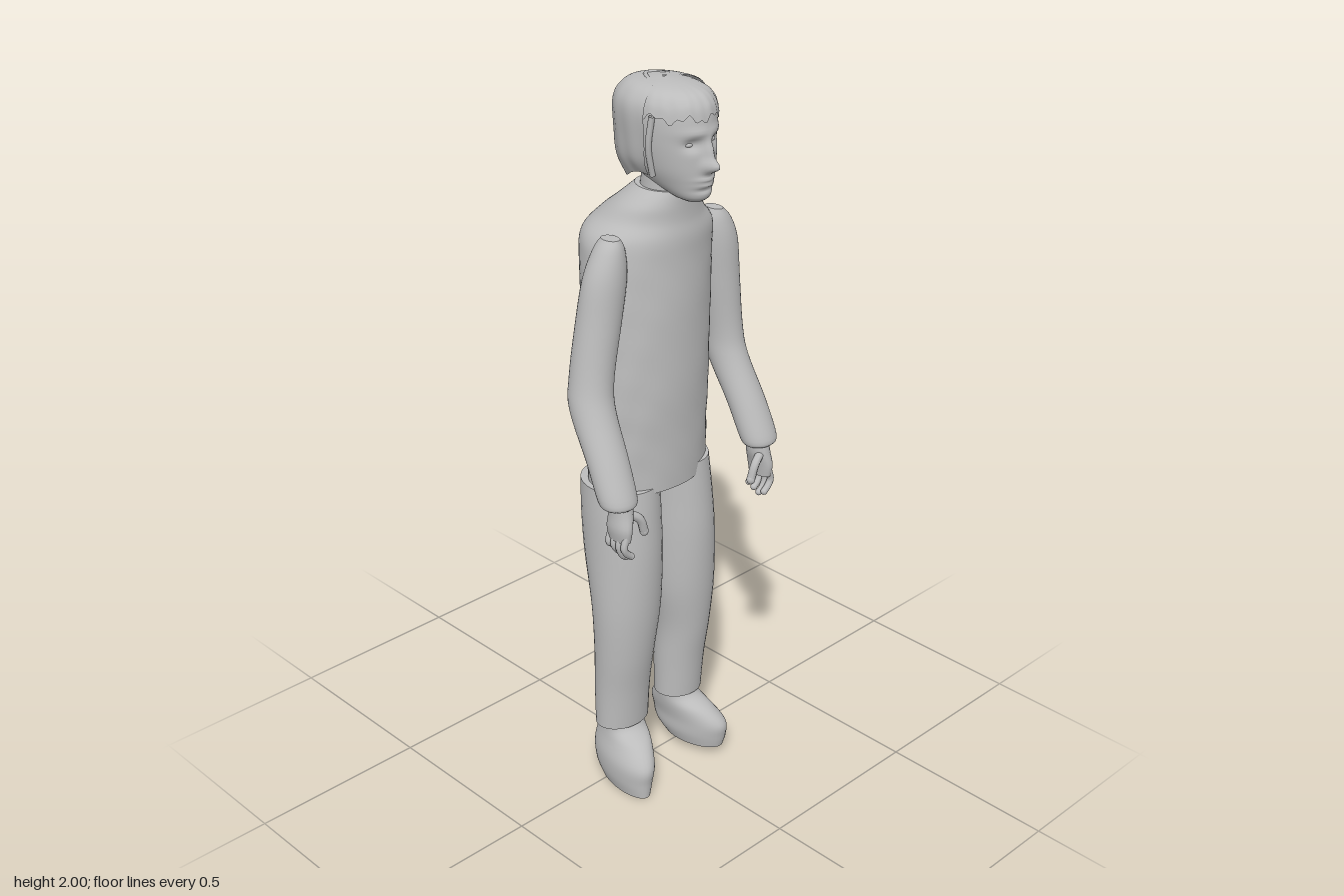
import * as THREE from 'three';

const grey = new THREE.MeshStandardMaterial({ color: 0xbcbcbc, side: THREE.DoubleSide });
grey.name = 'plain grey';

// Smooth interpolation through neighbouring rows
function blend(rows, t) {
  const i = Math.min(Math.floor(t), rows.length - 2), f = t - i;
  const at = k => rows[Math.max(0, Math.min(rows.length - 1, k))];
  const [a, b, c, d] = [at(i - 1), at(i), at(i + 1), at(i + 2)];
  return b.map((v, k) => v + 0.5 * f * (c[k] - a[k] + f * (2 * a[k] - 5 * v + 4 * c[k] - d[k]
    + f * (3 * (v - c[k]) + d[k] - a[k]))));
}

// Skin over elliptical cross-sections, rows are [y, centreX, centreZ, radiusX, radiusZ], bottom to top
function loft(name, rows, { seg = 36, sub = 5, from = 0, to = Math.PI * 2, warp, caps = true } = {}) {
  const closed = to - from > 6.28, cols = closed ? seg : seg + 1;
  const n = (rows.length - 1) * sub, pos = [], idx = [];
  for (let j = 0; j <= n; j++) {
    const [y, cx, cz, rx, rz] = blend(rows, j / sub);
    for (let i = 0; i < cols; i++) {
      const a = from + (to - from) * i / seg;
      const p = new THREE.Vector3(cx + rx * Math.sin(a), y, cz + rz * Math.cos(a));
      if (warp) warp(p, a, j / n);
      pos.push(p.x, p.y, p.z);
    }
  }
  for (let j = 0; j < n; j++) for (let i = 0; i < seg; i++) {
    const a = j * cols + i, b = j * cols + (i + 1) % cols;
    idx.push(a, b, b + cols, a, b + cols, a + cols);
  }
  // Flat ends with their own vertices, so the rims stay crisp
  if (closed && caps) for (const j of [0, n]) {
    const base = pos.length / 3, row = blend(rows, j / sub);
    for (let i = 0; i < cols; i++) pos.push(...pos.slice((j * cols + i) * 3, (j * cols + i) * 3 + 3));
    pos.push(row[1], row[0], row[2]);
    for (let i = 0; i < cols; i++) {
      const a = base + i, b = base + (i + 1) % cols;
      idx.push(...(j ? [a, b, base + cols] : [b, a, base + cols]));
    }
  }
  const g = new THREE.BufferGeometry();
  g.setAttribute('position', new THREE.Float32BufferAttribute(pos, 3));
  g.setIndex(idx);
  g.computeVertexNormals();
  const m = new THREE.Mesh(g, grey);
  m.name = name;
  return m;
}

function ball(name, x, y, z, sx, sy, sz) {
  const m = new THREE.Mesh(new THREE.SphereGeometry(1, 16, 12), grey);
  m.position.set(x, y, z);
  m.scale.set(sx, sy, sz);
  m.name = name;
  return m;
}

function tube(name, points, r) {
  const curve = new THREE.CatmullRomCurve3(points.map(p => new THREE.Vector3(...p)));
  const m = new THREE.Mesh(new THREE.TubeGeometry(curve, 14, r, 8), grey);
  m.name = name;
  return m;
}

const bump = (x, y, sx, sy) => Math.exp(-((x / sx) ** 2) - (y / sy) ** 2);

// Palm, four hanging fingers and an inward thumb; s is the side
function makeHand(s) {
  const hand = new THREE.Group();
  hand.name = s > 0 ? 'leftHand' : 'rightHand';
  hand.add(loft('palm', [[0.875, s * 0.262, 0.15, 0.018, 0.037], [0.91, s * 0.262, 0.15, 0.024, 0.042],
    [0.95, s * 0.255, 0.148, 0.028, 0.036], [1.0, s * 0.255, 0.145, 0.028, 0.03]], { seg: 18, sub: 4 }));
  for (let i = 0; i < 4; i++) {
    const z = 0.179 - i * 0.019, tip = 0.822 + 0.009 * Math.abs(i - 1);
    hand.add(tube('finger', [[s * 0.265, 0.895, z], [s * 0.274, 0.86, z], [s * 0.264, tip + 0.012, z], [s * 0.25, tip, z]], 0.0095));
    hand.add(ball('fingertip', s * 0.25, tip, z, 0.0095, 0.0095, 0.0095));
  }
  hand.add(tube('thumb', [[s * 0.25, 0.95, 0.165], [s * 0.215, 0.925, 0.175], [s * 0.2, 0.885, 0.175]], 0.012));
  hand.add(ball('thumbTip', s * 0.2, 0.885, 0.175, 0.012, 0.014, 0.012));
  return hand;
}

function makeHead() {
  const head = new THREE.Group();
  head.name = 'head';
  // Face features pushed out of the skull
  const face = p => {
    if (p.z < 0.08) return;
    const x = p.x - 0.025, ax = Math.abs(x);
    p.z += 0.034 * bump(x, p.y - 1.808, 0.017, 0.016) + 0.018 * bump(x, p.y - 1.84, 0.012, 0.03)
      - 0.014 * bump(ax - 0.038, p.y - 1.862, 0.02, 0.014) + 0.006 * bump(ax - 0.03, p.y - 1.89, 0.04, 0.012)
      + 0.008 * bump(x, p.y - 1.773, 0.028, 0.006) + 0.007 * bump(x, p.y - 1.758, 0.024, 0.006)
      - 0.006 * bump(x, p.y - 1.745, 0.03, 0.006);
  };
  head.add(loft('skull', [[1.71, 0.025, 0.115, 0.022, 0.03], [1.725, 0.025, 0.105, 0.045, 0.058],
    [1.76, 0.025, 0.062, 0.07, 0.106], [1.8, 0.025, 0.045, 0.087, 0.124], [1.86, 0.025, 0.035, 0.098, 0.133],
    [1.92, 0.025, 0.03, 0.1, 0.135], [1.96, 0.025, 0.027, 0.092, 0.125], [1.984, 0.025, 0.025, 0.07, 0.098],
    [1.995, 0.025, 0.02, 0.01, 0.015]], { seg: 96, sub: 8, warp: face }));
  for (const s of [-1, 1]) head.add(ball('eye', 0.025 + s * 0.037, 1.861, 0.138, 0.014, 0.007, 0.01));

  // Longer hair round the back and sides, with shallow combed ridges
  head.add(loft('backHair', [[1.755, 0.03, 0.02, 0.085, 0.112], [1.8, 0.03, 0.02, 0.104, 0.143],
    [1.86, 0.03, 0.025, 0.112, 0.155], [1.93, 0.03, 0.025, 0.115, 0.157], [1.968, 0.03, 0.025, 0.1, 0.138],
    [1.99, 0.03, 0.02, 0.068, 0.095], [1.998, 0.03, 0.01, 0.004, 0.004]], {
    seg: 60, from: Math.PI * 0.44, to: Math.PI * 1.56,
    warp: (p, a, t) => {
      const r = 1 + 0.012 * Math.sin(a * 15 + t * 5) * (1 - t);
      p.x = 0.03 + (p.x - 0.03) * r;
      p.z = 0.02 + (p.z - 0.02) * r;
      if (t < 0.3) p.y += 0.018 * Math.sin(a * 3) * (1 - t / 0.3);
    }
  }));
  // Ragged fringe over the forehead
  head.add(loft('fringe', [[1.925, 0.025, 0.03, 0.106, 0.139], [1.955, 0.025, 0.028, 0.099, 0.133],
    [1.98, 0.025, 0.026, 0.08, 0.11], [1.993, 0.025, 0.02, 0.045, 0.065], [1.998, 0.025, 0.015, 0.003, 0.003]], {
    seg: 60, from: -Math.PI * 0.58, to: Math.PI * 0.58,
    warp: (p, a, t) => { p.y += (1 - t) ** 4 * (0.008 * Math.sin(a * 9) + 0.006 * Math.sin(a * 23)); }
  }));
  // Locks in front of the ears and an arched lock on the crown
  for (const s of [-1, 1]) head.add(tube('sideLock', [[0.025 + s * 0.1, 1.93, 0.075],
    [0.025 + s * 0.102, 1.85, 0.065], [0.025 + s * 0.083, 1.775, 0.06]], 0.008));
  head.add(tube('crownLock', [[-0.013, 1.98, 0.03], [-0.005, 1.991, -0.01], [0.028, 1.993, -0.048],
    [0.06, 1.991, -0.01], [0.07, 1.98, 0.03]], 0.006));
  return head;
}

export function createModel() {
  const model = new THREE.Group();
  model.name = 'standingMan';

  // Body with a lightly crumpled surface
  model.add(loft('torso', [[0.915, 0, -0.02, 0.183, 0.123], [1.05, 0, -0.021, 0.184, 0.128],
    [1.2, 0.002, -0.022, 0.186, 0.133], [1.4, 0.01, -0.033, 0.187, 0.143], [1.54, 0.018, -0.042, 0.19, 0.147],
    [1.605, 0.024, -0.043, 0.183, 0.147], [1.65, 0.024, -0.028, 0.142, 0.126],
    [1.69, 0.02, -0.003, 0.11, 0.1], [1.73, 0.02, 0.02, 0.068, 0.078]], {
    seg: 64, sub: 8,
    warp: (p, a, t) => {
      const r = 1 + 0.009 * Math.sin(p.y * 45 + 2 * Math.sin(a * 3)) * Math.sin(a * 7 + p.y * 19) * (1 - t);
      p.x *= r;
      p.z *= r;
    }
  }));
  model.add(loft('neck', [[1.66, 0.02, 0.02, 0.066, 0.07], [1.73, 0.022, 0.025, 0.062, 0.066],
    [1.79, 0.025, 0.03, 0.062, 0.066]]));
  model.add(makeHead());

  // Sleeves hang from the shoulders and bend forward at the elbow
  const sleeves = {
    leftSleeve: [[0.97, 0.257, 0.148, 0.043, 0.038], [0.99, 0.258, 0.143, 0.053, 0.048], [1.08, 0.255, 0.1, 0.054, 0.052],
      [1.2, 0.247, 0.035, 0.051, 0.06], [1.28, 0.243, 0.018, 0.05, 0.058], [1.42, 0.23, 0.014, 0.055, 0.056],
      [1.53, 0.22, 0.016, 0.054, 0.052], [1.59, 0.21, 0.018, 0.04, 0.041], [1.622, 0.202, 0.02, 0.017, 0.028]],
    rightSleeve: [[0.97, -0.26, 0.148, 0.043, 0.038], [0.99, -0.262, 0.143, 0.053, 0.048], [1.08, -0.255, 0.1, 0.056, 0.052],
      [1.2, -0.245, 0.035, 0.058, 0.06], [1.28, -0.23, 0.018, 0.058, 0.058], [1.42, -0.2, 0.014, 0.061, 0.056],
      [1.53, -0.18, 0.016, 0.059, 0.052], [1.6, -0.167, 0.018, 0.04, 0.041], [1.63, -0.163, 0.02, 0.02, 0.028]]
  };
  for (const name in sleeves) model.add(loft(name, sleeves[name]));
  for (const s of [-1, 1]) model.add(makeHand(s));

  // Trouser legs
  const legs = {
    leftTrouserLeg: [[0.185, 0.1, 0, 0.072, 0.063], [0.3, 0.102, 0.003, 0.074, 0.07], [0.42, 0.105, 0.012, 0.077, 0.078],
      [0.56, 0.101, 0.013, 0.092, 0.09], [0.72, 0.098, -0.003, 0.097, 0.11], [0.84, 0.095, -0.013, 0.094, 0.114],
      [0.95, 0.09, -0.02, 0.09, 0.112]],
    rightTrouserLeg: [[0.185, -0.12, 0, 0.082, 0.063], [0.3, -0.12, 0.003, 0.083, 0.07], [0.42, -0.119, 0.012, 0.088, 0.078],
      [0.56, -0.112, 0.013, 0.099, 0.09], [0.72, -0.106, -0.003, 0.103, 0.11], [0.84, -0.104, -0.013, 0.102, 0.114],
      [0.93, -0.1, -0.02, 0.1, 0.112]]
  };
  for (const name in legs) model.add(loft(name, legs[name]));

  // Soft shoes, toes turned slightly out
  const shoes = {
    leftShoe: [[0.025, 0.118, 0.05, 0.05, 0.095], [0.06, 0.119, 0.037, 0.061, 0.116], [0.1, 0.116, 0.033, 0.06, 0.121],
      [0.14, 0.105, 0.016, 0.056, 0.1], [0.17, 0.099, 0.002, 0.054, 0.066], [0.2, 0.098, 0, 0.056, 0.05]],
    rightShoe: [[0, -0.15, 0.05, 0.042, 0.1], [0.04, -0.147, 0.038, 0.055, 0.114], [0.09, -0.142, 0.033, 0.06, 0.121],
      [0.14, -0.127, 0.016, 0.06, 0.1], [0.17, -0.12, 0.002, 0.06, 0.066], [0.2, -0.118, 0, 0.064, 0.05]]
  };
  for (const name in shoes) {
    const s = name === 'leftShoe' ? 1 : -1;
    model.add(loft(name, shoes[name], { warp: p => { p.x += s * 0.12 * (p.z - 0.03); } }));
  }
  return model;
}
